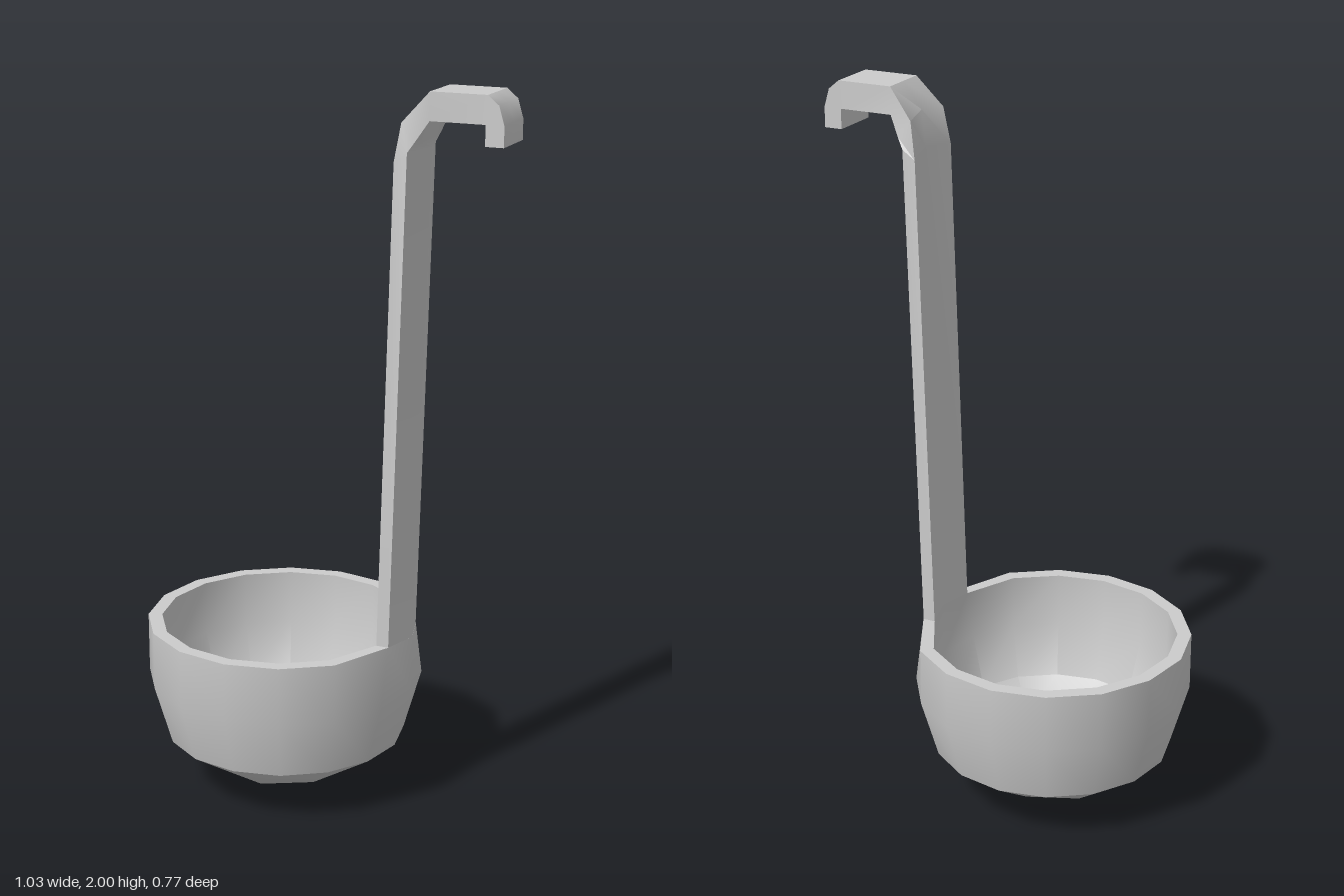
import * as THREE from 'three';
import { toCreasedNormals } from 'three/addons/utils/BufferGeometryUtils.js';

const SIDES = 16, CX = -0.13, CREASE = 0.6;
const HANDLE_HALF = 0.1;

// Collects quads as triangles, dropping collapsed ones
function createBuilder() {
  const pos = [];
  const tri = (a, b, c) => {
    const t = new THREE.Triangle(a, b, c);
    if (t.getArea() > 1e-7) for (const p of [a, b, c]) pos.push(p.x, p.y, p.z);
  };
  const quad = (a, b, c, d, flip = false) => {
    if (flip) { tri(a, c, b); tri(a, d, c); } else { tri(a, b, c); tri(a, c, d); }
  };
  const mesh = (name) => {
    const g = new THREE.BufferGeometry();
    g.setAttribute('position', new THREE.Float32BufferAttribute(pos, 3));
    const m = new THREE.Mesh(toCreasedNormals(g, CREASE),
      new THREE.MeshStandardMaterial({ color: 0xcccccc, side: THREE.DoubleSide }));
    m.name = name;
    return m;
  };
  return { tri, quad, mesh };
}

function ringPoint(r, y, i) {
  const a = (i / SIDES) * Math.PI * 2;
  return new THREE.Vector3(CX + r * Math.cos(a), y, r * Math.sin(a));
}

// A ring of the bowl; the rim is pinched where the handle grows out of it
function ring(r, y, pinch) {
  const pts = Array.from({ length: SIDES }, (_, i) => ringPoint(r, y, i));
  if (pinch) { pts[1].z = HANDLE_HALF; pts[SIDES - 1].z = -HANDLE_HALF; }
  return pts;
}

// One skin of the bowl: stacked rings closed by a rounded 4 x 4 grid
function bowlSkin(b, rings, base, flip) {
  for (let k = 0; k + 1 < rings.length; k++) {
    for (let i = 0; i < SIDES; i++) {
      const j = (i + 1) % SIDES;
      b.quad(rings[k + 1][i], rings[k][i], rings[k][j], rings[k + 1][j], flip);
    }
  }
  const edge = rings[rings.length - 1];
  const at = (i, j) => {
    if (Math.max(Math.abs(i), Math.abs(j)) === 2) {
      const n = Math.round(Math.atan2(j, i) / (Math.PI * 2) * SIDES);
      return edge[(n + SIDES) % SIDES];
    }
    const half = i && j ? base.corner : base.mid;
    return new THREE.Vector3(CX + i * half, base.y[Math.abs(i) + Math.abs(j)], j * half);
  };
  for (let i = -2; i < 2; i++) {
    for (let j = -2; j < 2; j++) {
      const q = [at(i, j), at(i + 1, j), at(i + 1, j + 1), at(i, j + 1)];
      if ((i >= 0) !== (j >= 0)) q.push(q.shift());
      b.quad(...q, flip);
    }
  }
}

function createBowl() {
  const b = createBuilder();
  const outer = [ring(0.387, 0.49, true), ring(0.387, 0.325), ring(0.338, 0.155)];
  const inner = [ring(0.348, 0.49, true), ring(0.346, 0.335), ring(0.303, 0.185)];
  bowlSkin(b, outer, { mid: 0.165, corner: 0.16, y: [0, 0.04, 0.075] }, false);
  bowlSkin(b, inner, { mid: 0.15, corner: 0.15, y: [0.045, 0.08, 0.11] }, true);
  // Flat rim, left open under the handle
  for (let i = 1; i < SIDES - 1; i++) {
    b.quad(inner[0][i], inner[0][i + 1], outer[0][i + 1], outer[0][i]);
  }
  return b.mesh('bowl');
}

function createHandle() {
  const b = createBuilder();
  // Sections: inner edge, inner centre, outer edge, outer centre (x, y), half width
  const sections = [
    [[0.192, 0.49], [0.218, 0.49], [0.227, 0.49], [0.257, 0.49], HANDLE_HALF],
    [[0.23, 1.82], [0.252, 1.83], [0.266, 1.845], [0.296, 1.85], HANDLE_HALF],
    [[0.246, 1.92], [0.262, 1.93], [0.285, 1.875], [0.302, 1.875], 0.09],
    [[0.315, 2], [0.315, 2], [0.315, 1.925], [0.315, 1.925], 0.071],
    [[0.47, 2], [0.47, 2], [0.465, 1.925], [0.465, 1.925], 0.071],
    [[0.5, 1.975], [0.5, 1.975], [0.465, 1.925], [0.465, 1.925], 0.071],
    [[0.515, 1.925], [0.515, 1.925], [0.465, 1.925], [0.465, 1.925], 0.071],
    [[0.515, 1.87], [0.515, 1.87], [0.465, 1.87], [0.465, 1.87], 0.071],
  ];
  const loops = sections.map(([ie, ic, oe, oc, w]) =>
    [[ie, w], [ic, 0], [ie, -w], [oe, -w], [oc, 0], [oe, w]]
      .map(([p, z]) => new THREE.Vector3(p[0], p[1], z)));
  for (let s = 0; s + 1 < loops.length; s++) {
    const lo = loops[s], hi = loops[s + 1];
    for (let k = 0; k < 6; k++) {
      const n = (k + 1) % 6;
      b.quad(lo[k], hi[k], hi[n], lo[n]);
    }
  }
  // Hook tip
  const tip = loops[loops.length - 1];
  b.quad(tip[0], tip[5], tip[3], tip[2]);
  return b.mesh('handle');
}

export function createModel() {
  const group = new THREE.Group();
  group.name = 'ladle';
  group.add(createBowl(), createHandle());
  return group;
}
